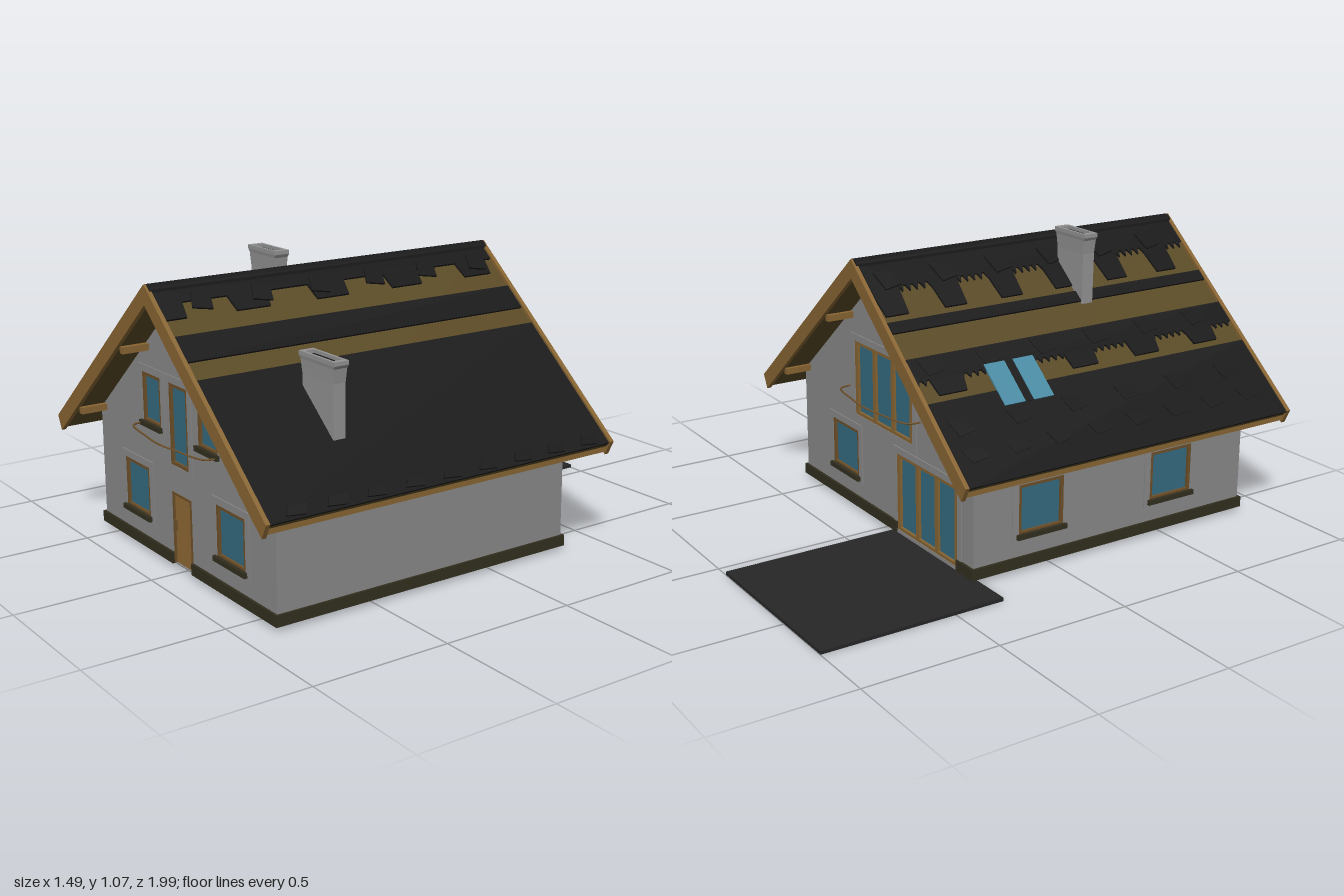
import * as THREE from 'three';

const mat = (color) => new THREE.MeshStandardMaterial({ color, side: THREE.DoubleSide, flatShading: true });
const M = {
  wall: mat(0x8a8a8a), chimney: mat(0x949494), wood: mat(0x886533), underlay: mat(0x594925), plinth: mat(0x322e1f),
  tile: mat(0x191919), glass: mat(0x356b81), skylight: mat(0x4a8ba3), frame: mat(0x6e5029), door: mat(0x8f6935),
  terrace: mat(0x272727),
};

// Main dimensions
const X0 = -0.585, X1 = 0.61, ZF = 0.875, ZB = -0.325, BASE = 0.015, T = 0.02;
const RX = 0.01, RY = 1.02, HALF = 0.725, SLOPE = 0.84;
const A = Math.atan(SLOPE), CA = Math.cos(A);
const roofY = (x) => RY - SLOPE * Math.abs(x - RX);

function add(parent, name, geo, material) {
  const m = new THREE.Mesh(geo, material);
  m.name = name;
  parent.add(m);
  return m;
}
// Box given by its minimum and maximum corners
function box(parent, name, material, x0, x1, y0, y1, z0, z1) {
  const m = add(parent, name, new THREE.BoxGeometry(x1 - x0, y1 - y0, z1 - z0), material);
  m.position.set((x0 + x1) / 2, (y0 + y1) / 2, (z0 + z1) / 2);
  return m;
}
const poly = (pts) => new THREE.Shape(pts.map((p) => new THREE.Vector2(p[0], p[1])));
const extrude = (shape, depth) => new THREE.ExtrudeGeometry(shape, { depth, bevelEnabled: false });
const opening = ([a, b, c, d]) => new THREE.Path([[a, c], [a, d], [b, d], [b, c]].map((p) => new THREE.Vector2(...p)));

// Flat wall with rectangular openings [x0, x1, y0, y1], outside at local z = 0
function wall(parent, name, outline, openings) {
  const s = poly(outline);
  s.holes.push(...openings.map(opening));
  add(parent, name, extrude(s, T), M.wall).position.z = -T;
}

// Framed window in a wall whose outside is local z = 0
function windowUnit(parent, name, rect, { panes = 1, sill = true } = {}) {
  const [a, b, c, d] = rect;
  const g = new THREE.Group();
  g.name = name;
  parent.add(g);
  const f = panes > 1 ? 0.02 : 0.012, bar = panes > 1 ? M.wood : M.frame;
  box(g, 'glass', M.glass, a, b, c, d, -0.014, -0.008);
  for (let i = 0; i <= panes; i++) {
    const x = a + (b - a - f) * i / panes;
    box(g, 'frameUpright', bar, x, x + f, c, d, -0.024, 0.002);
  }
  for (const y of [c, d - 0.012]) box(g, 'frameRail', bar, a, b, y, y + 0.012, -0.024, 0.002);
  if (sill) box(g, 'sill', M.plinth, a - 0.01, b + 0.01, c - 0.014, c + 0.004, -0.036, 0.016);
  const t = 0.026;
  const s = poly([[a - t, c - t], [b + t, c - t], [b + t, d + t], [a - t, d + t]]);
  s.holes.push(opening(rect));
  add(g, 'plasterTrim', extrude(s, 0.004), M.wall);
}

// Curved balcony rail in front of a gable
function balconyRail(parent, x0, x1, y) {
  const mid = (x0 + x1) / 2;
  const c = new THREE.CatmullRomCurve3([[x0, 0], [x0 + 0.01, 0.045], [mid - 0.1, 0.075], [mid, 0.085],
    [mid + 0.1, 0.075], [x1 - 0.01, 0.045], [x1, 0]].map(([x, z]) => new THREE.Vector3(x, y, z)));
  add(parent, 'balconyRail', new THREE.TubeGeometry(c, 32, 0.0035, 6), M.frame);
}

// Plate on one roof slope: points are [horizontal distance from ridge, z]
function slopePlate(parent, name, side, pts, lift, thick, material) {
  const m = add(parent, name, extrude(poly(pts.map(([d, z]) => [d / CA, -side * z])), thick), material);
  const u = new THREE.Vector3(side * CA, -Math.sin(A), 0);
  const n = new THREE.Vector3(side * Math.sin(A), CA, 0);
  m.applyMatrix4(new THREE.Matrix4().makeBasis(u, new THREE.Vector3(0, 0, -side), n));
  m.position.set(RX, RY, 0).addScaledVector(n, lift);
}
// Tile strip from d0 to d1 whose lower edge hangs down in blocks and small teeth
function tileStrip(parent, side, d0, d1, drop = 0, period = 0.24, offset = 0, teeth = 0) {
  const z0 = -0.425, z1 = 0.973, pts = [[d0, z0], [d0, z1]];
  if (!drop) pts.push([d1, z1], [d1, z0]);
  else {
    const n = 140;
    for (let i = n; i >= 0; i--) {
      const z = z0 + (z1 - z0) * i / n;
      const k = ((z + offset + 2) / period) % 1;
      pts.push([d1 + (k < 0.42 ? drop : i % 3 === 0 ? teeth : 0), z]);
    }
  }
  slopePlate(parent, 'tileStrip', side, pts, -0.004, 0.008, M.tile);
}

// Tapered chimney with a flared head
function chimney(parent, name, x0, x1, z0, z1, top) {
  const g = new THREE.Group();
  g.name = name;
  parent.add(g);
  const cx = (x0 + x1) / 2, cz = (z0 + z1) / 2, w = x1 - x0, d = z1 - z0;
  const bottom = Math.min(roofY(x0), roofY(x1)) - 0.02;
  const rings = [[bottom, 0.83], [top - 0.075, 0.86], [top - 0.025, 0.93], [top - 0.014, 1], [top, 1]];
  for (let i = 0; i < rings.length - 1; i++) {
    const [ya, sa] = rings[i], [yb, sb] = rings[i + 1];
    const geo = new THREE.CylinderGeometry(sb * Math.SQRT1_2, sa * Math.SQRT1_2, yb - ya, 4, 1, true);
    geo.rotateY(Math.PI / 4).scale(w, 1, d);
    add(g, 'shaft', geo, M.chimney).position.set(cx, (ya + yb) / 2, cz);
  }
  box(g, 'flue', M.tile, x0 + 0.02, x1 - 0.02, top - 0.03, top - 0.012, z0 + 0.01, z1 - 0.01);
  for (const z of [z0, z1 - 0.01]) box(g, 'rim', M.chimney, x0, x1, top - 0.012, top, z, z + 0.01);
  for (const x of [x0, x1 - 0.02]) box(g, 'rim', M.chimney, x, x + 0.02, top - 0.012, top, z0, z1);
}

export function createModel() {
  const house = new THREE.Group();
  house.name = 'house';
  const sub = (name, x = 0, z = 0, ry = 0) => {
    const g = new THREE.Group();
    g.name = name;
    g.position.set(x, 0, z);
    g.rotation.y = ry;
    house.add(g);
    return g;
  };
  const drop = 0.045;
  const gable = [[X0, BASE], [X1, BASE], [X1, roofY(X1) - drop], [RX, RY - drop], [X0, roofY(X0) - drop]];

  // Front gable with five windows and the door
  const front = sub('frontGable', 0, ZF);
  const lower = [[-0.4, -0.22, 0.135, 0.32], [0.245, 0.428, 0.135, 0.32]];
  const upper = [[-0.245, -0.115, 0.49, 0.67], [0.14, 0.27, 0.49, 0.67]];
  const middle = [-0.055, 0.07, 0.38, 0.67], door = [-0.055, 0.075, 0.02, 0.28];
  wall(front, 'frontWall', gable, [...lower, ...upper, middle, door]);
  [...lower, ...upper].forEach((o) => windowUnit(front, 'window', o));
  windowUnit(front, 'balconyWindow', middle, { sill: false });
  balconyRail(front, -0.25, 0.27, 0.483);
  box(front, 'door', M.door, ...door, -0.016, -0.004);
  for (const x of [door[0], door[1] - 0.008]) box(front, 'doorFrame', M.frame, x, x + 0.008, 0.02, 0.28, -0.018, 0.003);
  box(front, 'doorFrame', M.frame, door[0], door[1], 0.272, 0.28, -0.018, 0.003);
  box(front, 'doorHandle', M.frame, -0.042, -0.036, 0.14, 0.18, -0.004, 0.006);

  // Back gable, drawn mirrored in x because it is turned round
  const back = sub('backGable', 0, ZB, Math.PI);
  const bSmall = [-0.385, -0.19, 0.135, 0.32], bDoor = [0.09, 0.49, 0.025, 0.32], bUpper = [-0.205, 0.2, 0.385, 0.67];
  wall(back, 'backWall', gable.map(([x, y]) => [-x, y]), [bSmall, bDoor, bUpper]);
  windowUnit(back, 'window', bSmall);
  windowUnit(back, 'terraceDoor', bDoor, { panes: 3, sill: false });
  windowUnit(back, 'balconyWindow', bUpper, { panes: 3, sill: false });
  balconyRail(back, -0.25, 0.25, 0.483);

  // Side walls
  const side = (z0, z1, x) => [[z0, BASE], [z1, BASE], [z1, roofY(x) - drop], [z0, roofY(x) - drop]];
  const right = sub('rightSide', X0, 0, -Math.PI / 2);
  const sideWins = [[-0.14, 0.05, 0.135, 0.32], [0.44, 0.63, 0.135, 0.32]];
  wall(right, 'rightWall', side(ZB, ZF, X0), sideWins);
  sideWins.forEach((o) => windowUnit(right, 'window', o));
  const left = sub('leftSide', X1, 0, Math.PI / 2);
  wall(left, 'leftWall', side(-ZF, -ZB, X1), []);

  // Plinth strips, open at the doors
  const P = (...a) => box(house, 'plinth', M.plinth, a[0], a[1], BASE, 0.055, a[2], a[3]);
  const e = 0.01;
  P(X0 - e, door[0], ZF, ZF + e);
  P(door[1], X1 + e, ZF, ZF + e);
  P(X0 - e, -0.49, ZB - e, ZB);
  P(-0.09, X1 + e, ZB - e, ZB);
  P(X0 - e, X0, ZB, ZF);
  P(X1, X1 + e, ZB, ZF);

  // Roof underlay and barge boards
  const chevron = (top, thick, half) => poly([
    [RX, RY + top], [RX + half, RY + top - SLOPE * half], [RX + half - 0.026, RY + top - SLOPE * half - thick + 0.018],
    [RX, RY + top - thick], [RX - half + 0.026, RY + top - SLOPE * half - thick + 0.018], [RX - half, RY + top - SLOPE * half]]);
  add(house, 'roofUnderlay', extrude(chevron(-0.006, 0.05, HALF - 0.005), 1.405), M.underlay).position.z = -0.43;
  for (const z of [-0.445, 0.973]) add(house, 'bargeBoard', extrude(chevron(0.01, 0.07, HALF + 0.005), 0.016), M.wood).position.z = z;
  for (const s of [-1, 1]) {
    const x = RX + s * (HALF - 0.022);
    box(house, 'eaveBoard', M.wood, x - 0.006, x + 0.006, 0.377, 0.41, -0.43, 0.975);
  }
  // Purlin ends under the roof overhangs
  for (const [x, y] of [[-0.2, 0.765], [0.225, 0.765], [-0.55, 0.47], [0.575, 0.47]]) {
    box(house, 'purlinEnd', M.wood, x - 0.011, x + 0.011, y - 0.012, y + 0.012, ZF, 0.975);
    box(house, 'purlinEnd', M.wood, x - 0.011, x + 0.011, y - 0.012, y + 0.012, -0.43, ZB);
  }

  // Tiles: strips with the underlay showing between them
  const tiles = sub('roofTiles');
  tileStrip(tiles, 1, 0, 0.062, 0.05, 0.32, -0.01);
  tileStrip(tiles, 1, 0.165, 0.245);
  tileStrip(tiles, 1, 0.302, HALF);
  tileStrip(tiles, -1, 0, 0.1, 0.09, 0.24, 0.1, 0.02);
  tileStrip(tiles, -1, 0.21, 0.245);
  tileStrip(tiles, -1, 0.33, 0.4, 0.05, 0.28, 0.05, 0.015);
  tileStrip(tiles, -1, 0.47, HALF);
  // Raised tile courses: [side, distance, width, count, lift]
  for (const [s, d, w, n, lift] of [[1, 0.69, 0.03, 9, 0.003], [1, 0.04, 0.06, 6, 0.004], [-1, 0.53, 0.05, 6, 0],
    [-1, 0.62, 0.04, 8, 0], [-1, 0.05, 0.06, 6, 0.004], [-1, 0.34, 0.05, 6, 0]]) {
    for (let i = 0; i < n; i++) {
      const z = -0.39 + 1.3 * i / (n - 0.4), l = 0.09;
      slopePlate(tiles, 'raisedTile', s, [[d, z], [d + w, z + 0.02], [d + w * 0.8, z + l], [d, z + l - 0.02]], lift, 0.007, M.tile);
    }
  }
  // Ridge cap: a half cylinder lying along the ridge
  const cap = new THREE.CylinderGeometry(0.026, 0.026, 1.416, 8, 1, false, Math.PI / 2, Math.PI).rotateX(Math.PI / 2);
  add(tiles, 'ridgeCap', cap, M.tile).position.set(RX, RY - 0.016, 0.272);

  // Skylight pair with a dark bar between
  const pane = (name, z0, z1, thick, material) =>
    slopePlate(house, name, -1, [[0.388, z0], [0.52, z0], [0.52, z1], [0.388, z1]], 0.001, thick, material);
  pane('skylight', -0.15, -0.065, 0.007, M.skylight);
  pane('skylight', -0.03, 0.055, 0.007, M.skylight);
  pane('skylightBar', -0.065, -0.03, 0.005, M.tile);

  chimney(house, 'tallChimney', -0.255, -0.075, 0.372, 0.43, 1.066);
  chimney(house, 'shortChimney', 0.367, 0.572, 0.567, 0.623, 0.828);

  box(house, 'terrace', M.terrace, -0.75, -0.06, 0, 0.012, -1, -0.313);
  return house;
}
